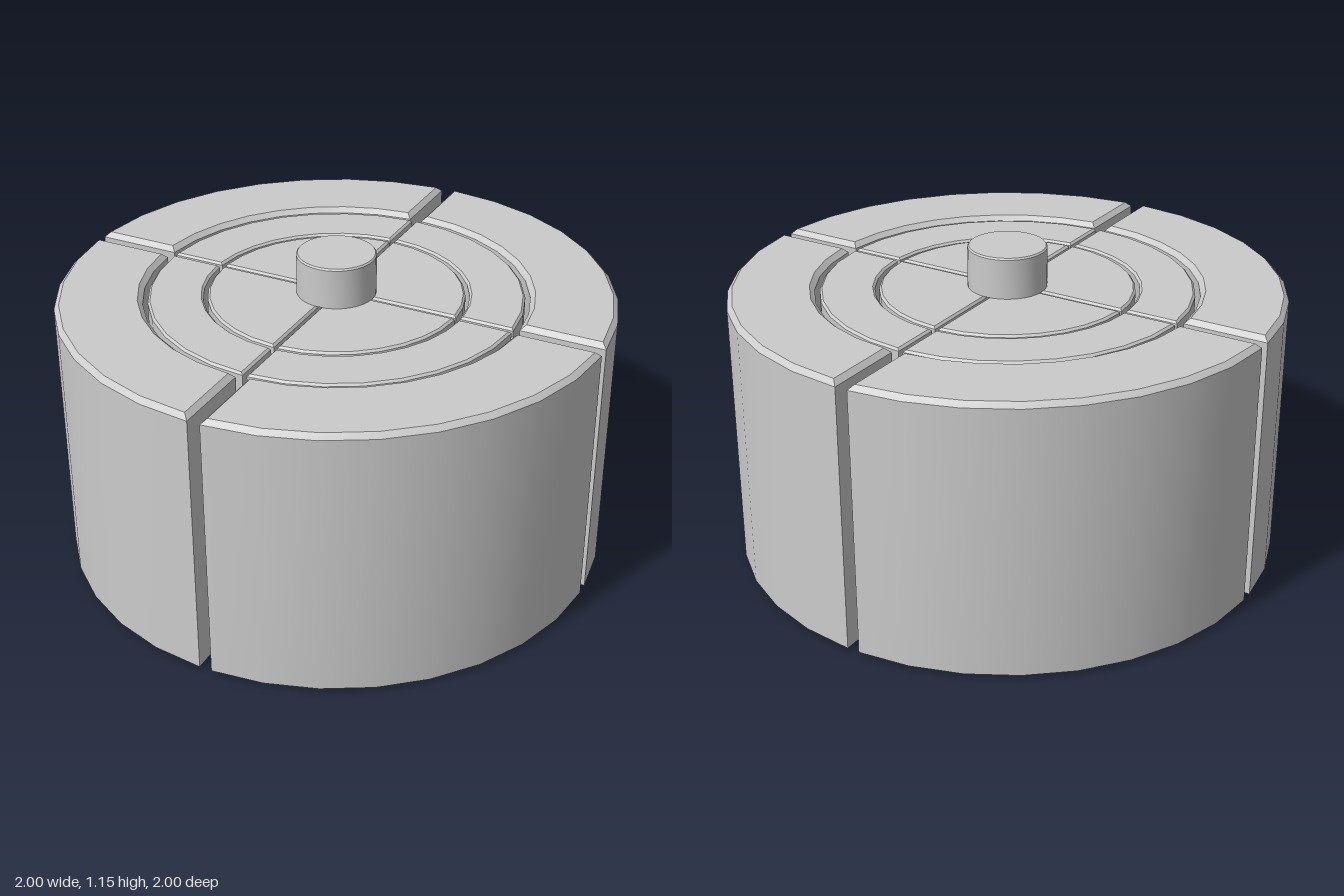
import * as THREE from 'three';
import { toCreasedNormals } from 'three/addons/utils/BufferGeometryUtils.js';

const ARC_STEPS = 8;
const material = new THREE.MeshStandardMaterial({ color: 0xcccccc, side: THREE.DoubleSide });

// Closed outline of a quarter-ring sector at height y, inset on every side by d
function sectorLoop({ rIn, rOut, gap }, d, y) {
  const arc = (r) => {
    const half = Math.PI / 4 - Math.asin((gap + d) / r);
    return Array.from({ length: ARC_STEPS + 1 }, (_, i) => {
      const a = half * ((2 * i) / ARC_STEPS - 1);
      return [r * Math.sin(a), y, r * Math.cos(a)];
    });
  };
  return [...arc(rOut - d), ...arc(rIn + d).reverse()];
}

// Hollow sector shell: walls, chamfer and top, open underneath
function sectorGeometry(spec) {
  const { bevel, bottom, top } = spec;
  const loops = [
    sectorLoop(spec, 0, bottom),
    sectorLoop(spec, 0, top - bevel),
    sectorLoop(spec, bevel, top),
  ];
  const pos = [];
  const quad = (a, b, c, d) => pos.push(...a, ...b, ...c, ...a, ...c, ...d);
  const n = loops[0].length;
  for (let k = 0; k < 2; k++) {
    for (let i = 0; i < n; i++) {
      const j = (i + 1) % n;
      quad(loops[k][i], loops[k][j], loops[k + 1][j], loops[k + 1][i]);
    }
  }
  const rim = loops[2];
  for (let i = 0; i < ARC_STEPS; i++) quad(rim[i], rim[i + 1], rim[n - 2 - i], rim[n - 1 - i]);

  const geometry = new THREE.BufferGeometry();
  geometry.setAttribute('position', new THREE.Float32BufferAttribute(pos, 3));
  return toCreasedNormals(geometry, Math.PI / 6);
}

export function createModel() {
  const model = new THREE.Group();
  model.name = 'segmentedDrum';

  // Three concentric rings, each split into four quarters
  const rings = [
    { name: 'outerRing', rIn: 0.69, rOut: 1, gap: 0.023, bevel: 0.018, bottom: 0.01, top: 1.01 },
    { name: 'middleRing', rIn: 0.475, rOut: 0.672, gap: 0.008, bevel: 0.008, bottom: 0, top: 1 },
    { name: 'innerCore', rIn: 0.015, rOut: 0.46, gap: 0.006, bevel: 0.008, bottom: 0, top: 1 },
  ];
  for (const spec of rings) {
    const ring = new THREE.Group();
    ring.name = spec.name;
    const geometry = sectorGeometry(spec);
    for (let q = 0; q < 4; q++) {
      const sector = new THREE.Mesh(geometry, material);
      sector.name = `${spec.name}Quarter${q + 1}`;
      sector.rotation.y = (q * Math.PI) / 2;
      ring.add(sector);
    }
    model.add(ring);
  }

  // Round knob on top with a slightly eased rim
  const profile = [[0, 1.0], [0.143, 1.0], [0.143, 1.146], [0.138, 1.152], [0, 1.152]];
  const knobGeometry = new THREE.LatheGeometry(profile.map(([x, y]) => new THREE.Vector2(x, y)), 32);
  const knob = new THREE.Mesh(toCreasedNormals(knobGeometry, Math.PI / 6), material);
  knob.name = 'knob';
  model.add(knob);

  return model;
}
